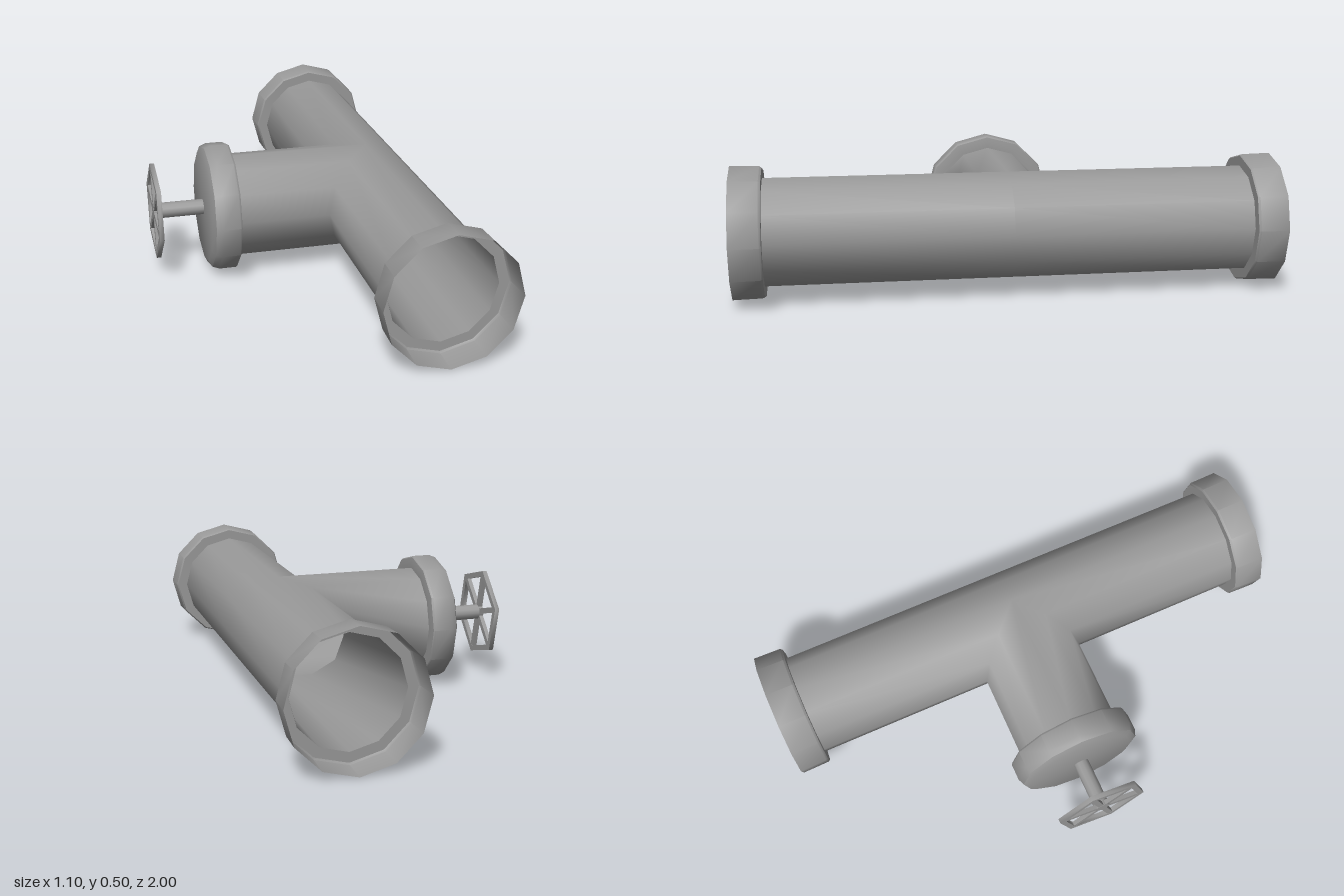
import * as THREE from 'three';
import { mergeGeometries, mergeVertices, toCreasedNormals } from 'three/addons/utils/BufferGeometryUtils.js';

const SIDES = 12, R = 0.2;
const AXIS_X = 0.302, AXIS_Y = 0.25;
const material = new THREE.MeshStandardMaterial({ color: 0x999999, side: THREE.DoubleSide });

function addMesh(parent, name, geometry) {
  const mesh = new THREE.Mesh(geometry, material);
  mesh.name = name;
  parent.add(mesh);
}

// Open tube along y whose vertices are then placed by a rule
function shapedTube(rotate, place) {
  const geo = new THREE.CylinderGeometry(R, R, 1, SIDES, 1, true);
  rotate(geo);
  const p = geo.attributes.position;
  const v = new THREE.Vector3();
  for (let i = 0; i < p.count; i++) {
    place(v.fromBufferAttribute(p, i));
    p.setXYZ(i, v.x, v.y, v.z);
  }
  geo.deleteAttribute('uv');
  geo.deleteAttribute('normal');
  return geo;
}

// Main pipe and side branch, mitred together and shaded as one smooth skin
function createTee() {
  const tubes = [1, -1].map((s) => shapedTube(
    (g) => g.rotateX(Math.PI / 2),
    (v) => { v.z = s * (v.z * s > 0 ? 0.89 : Math.max(0, -v.x)); }
  ));
  tubes.push(shapedTube(
    (g) => g.rotateZ(Math.PI / 2),
    (v) => { v.x = v.x < 0 ? -0.55 : -Math.abs(v.z); }
  ));
  const tee = mergeVertices(mergeGeometries(tubes));
  tee.computeVertexNormals();
  return tee;
}

function lathe(profile) {
  const points = profile.map(([r, h]) => new THREE.Vector2(r, h));
  return toCreasedNormals(new THREE.LatheGeometry(points, SIDES), 0.7);
}

function polygon(radius, sides, turn, Type) {
  const pts = [];
  for (let i = 0; i < sides; i++) {
    const a = turn + (i / sides) * Math.PI * 2;
    pts.push(new THREE.Vector2(radius * Math.cos(a), radius * Math.sin(a)));
  }
  return new Type(pts);
}

// Six-sided wheel with a spoke to every corner, facing -x
function createHandwheel() {
  const wheel = new THREE.Group();
  wheel.name = 'handwheel';
  const turn = -Math.PI / 12, depth = 0.018, radius = 0.184;
  const rim = polygon(radius, 6, turn, THREE.Shape);
  rim.holes.push(polygon(radius - 0.024, 6, turn, THREE.Path));
  const rimGeo = new THREE.ExtrudeGeometry(rim, { depth, bevelEnabled: false });
  addMesh(wheel, 'wheelRim', toCreasedNormals(rimGeo, 1.1));
  for (let i = 0; i < 6; i++) {
    const spoke = new THREE.BoxGeometry(0.165, 0.022, depth * 0.9);
    spoke.translate(0.0825, 0, depth / 2);
    spoke.rotateZ(turn + (i * Math.PI) / 3);
    addMesh(wheel, 'wheelSpoke', spoke);
  }
  wheel.rotation.y = -Math.PI / 2;
  wheel.position.x = -0.834;
  return wheel;
}

export function createModel() {
  const model = new THREE.Group();
  model.name = 'teePipeWithValve';
  const pipe = new THREE.Group();
  pipe.name = 'pipe';
  pipe.position.set(AXIS_X, AXIS_Y, 0);
  model.add(pipe);

  addMesh(pipe, 'teePipe', createTee());

  // Open sockets at both ends of the main pipe
  for (const s of [1, -1]) {
    const socket = lathe([[R, 0.887], [0.238, 0.887], [0.2435, 0.895], [0.246, 1]]);
    socket.rotateX(s * Math.PI / 2);
    addMesh(pipe, 'endSocket', socket);
  }

  // Closed cap with rounded edges on the branch
  const cap = lathe([[R, 0.546], [0.22, 0.546], [0.243, 0.549], [0.248, 0.556],
    [0.248, 0.62], [0.238, 0.646], [0.212, 0.658], [0, 0.658]]);
  cap.rotateZ(Math.PI / 2);
  addMesh(pipe, 'branchCap', cap);

  // Valve stem and wheel
  const stem = new THREE.CylinderGeometry(0.03, 0.03, 0.194, SIDES);
  stem.rotateZ(Math.PI / 2);
  stem.translate(-0.755, 0, 0);
  addMesh(pipe, 'valveStem', stem);
  pipe.add(createHandwheel());

  return model;
}
